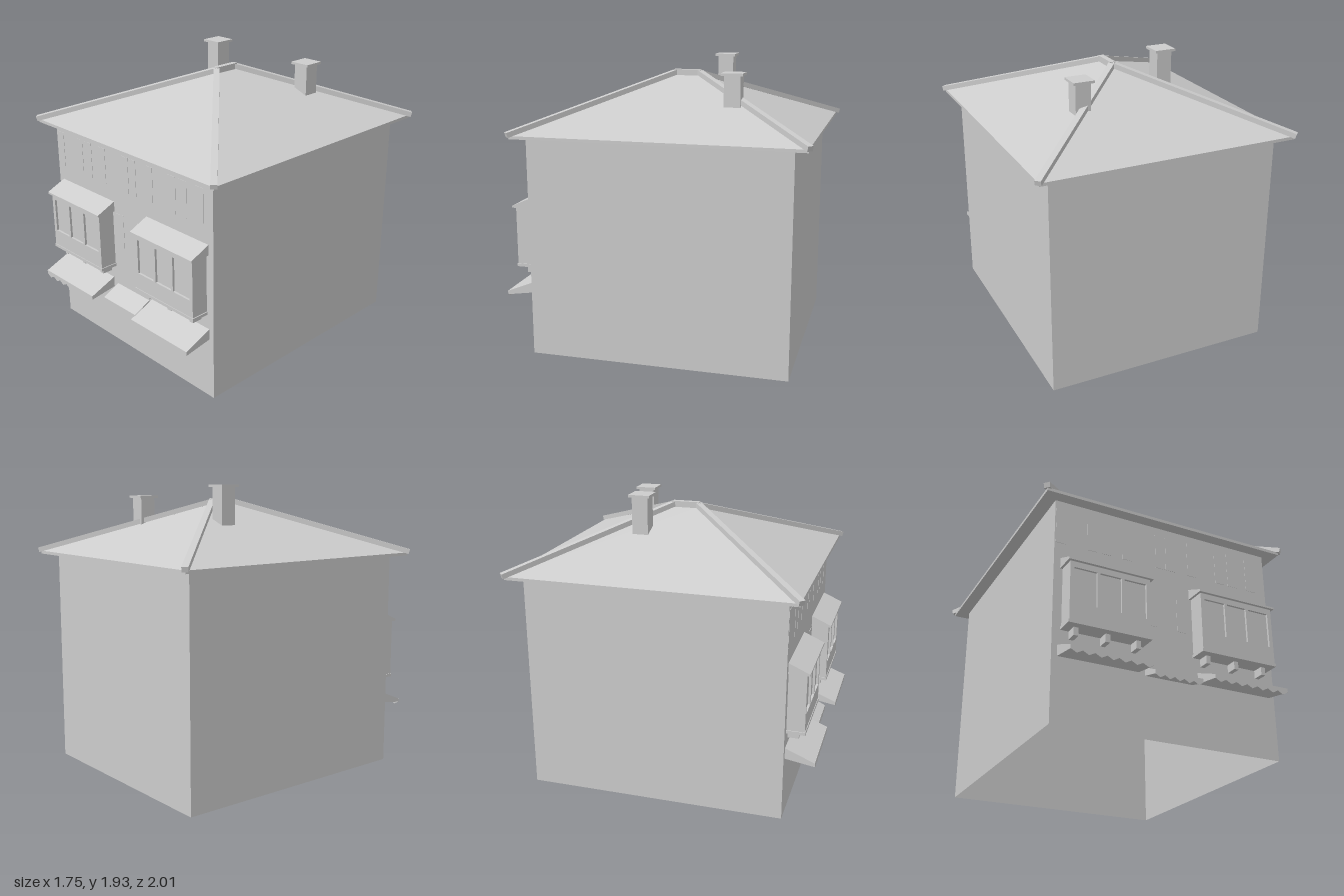
import * as THREE from 'three';

const plaster = new THREE.MeshStandardMaterial({ color: 0xcccccc, side: THREE.DoubleSide });
plaster.name = 'plainGrey';

const WALL_FRONT = 0.81;

function part(parent, name, geometry) {
  const mesh = new THREE.Mesh(geometry, plaster);
  mesh.name = name;
  parent.add(mesh);
  return mesh;
}

// Box given by its lower and upper limits
function box(parent, name, [x0, x1], [y0, y1], [z0, z1]) {
  const g = new THREE.BoxGeometry(x1 - x0, y1 - y0, z1 - z0);
  g.translate((x0 + x1) / 2, (y0 + y1) / 2, (z0 + z1) / 2);
  return part(parent, name, g);
}

// Side profile of [z, y] points, stretched from x0 to x1
function prism(parent, name, x0, x1, profile) {
  const shape = new THREE.Shape(profile.map(([z, y]) => new THREE.Vector2(z, y)));
  const g = new THREE.ExtrudeGeometry(shape, { depth: x1 - x0, bevelEnabled: false });
  g.rotateY(-Math.PI / 2).translate(x1, 0, 0);
  return part(parent, name, g);
}

function rect(Type, x0, x1, y0, y1) {
  const r = new Type();
  r.moveTo(x0, y0).lineTo(x1, y0).lineTo(x1, y1).lineTo(x0, y1).closePath();
  return r;
}

function buildRoof() {
  const roof = new THREE.Group();
  roof.name = 'roof';
  const w = 0.85, eave = 1.47, top = 1.8, front = 0.886, back = -0.978;
  box(roof, 'eaveSlab', [-w, w], [1.45, eave], [back, front]);

  // Hipped roof: four eave corners, then two ridge ends
  const g = new THREE.BufferGeometry();
  g.setAttribute('position', new THREE.Float32BufferAttribute([
    -w, eave, front, w, eave, front, w, eave, back, -w, eave, back,
    0, top, front - w, 0, top, back + w], 3));
  g.setIndex([0, 1, 4, 1, 2, 5, 1, 5, 4, 2, 3, 5, 3, 0, 4, 3, 4, 5]);
  const flat = g.toNonIndexed();
  flat.computeVertexNormals();
  part(roof, 'hippedRoof', flat);

  // Cap strips over the ridge and the four hips
  box(roof, 'ridgeCap', [-0.019, 0.019], [top - 0.005, 1.835], [back + w - 0.01, front - w + 0.01]);
  for (const sx of [-1, 1]) {
    for (const [zEnd, zTop, sz] of [[front, front - w, 1], [back, back + w, -1]]) {
      const a = new THREE.Vector3(0, top + 0.016, zTop);
      const b = new THREE.Vector3(sx * (w + 0.01), eave + 0.007, zEnd + sz * 0.01);
      const cap = part(roof, 'hipCap', new THREE.BoxGeometry(0.04, 0.033, a.distanceTo(b)));
      cap.position.copy(a).lerp(b, 0.5);
      cap.lookAt(b);
    }
  }
  return roof;
}

function buildChimney(x, z, bottom, top) {
  const chimney = new THREE.Group();
  chimney.name = 'chimney';
  box(chimney, 'chimneyShaft', [x - 0.051, x + 0.051], [bottom, top - 0.015], [z - 0.053, z + 0.053]);
  box(chimney, 'chimneyCap', [x - 0.07, x + 0.07], [top - 0.016, top], [z - 0.07, z + 0.07]);
  return chimney;
}

function buildBay(cx) {
  const bay = new THREE.Group();
  bay.name = 'bayWindow';
  const h = 0.264;
  box(bay, 'bayBody', [-h, h], [0.59, 0.985], [WALL_FRONT, 0.91]);

  // Front face with three recessed openings
  const face = rect(THREE.Shape, -h, h, 0.59, 0.985);
  for (const [x0, x1] of [[-0.237, -0.089], [-0.071, 0.071], [0.089, 0.237]])
    face.holes.push(rect(THREE.Path, x0, x1, 0.708, 0.94));
  const g = new THREE.ExtrudeGeometry(face, { depth: 0.015, bevelEnabled: false });
  part(bay, 'bayFront', g.translate(0, 0, 0.91));

  box(bay, 'baySill', [-0.27, 0.27], [0.577, 0.597], [WALL_FRONT, 0.929]);
  prism(bay, 'bayRoof', -0.28, 0.28,
    [[WALL_FRONT, 0.98], [0.945, 0.977], [0.945, 0.99], [WALL_FRONT, 1.05]]);
  for (const x of [-0.202, 0, 0.202])
    box(bay, 'bayBracket', [x - 0.015, x + 0.015], [0.525, 0.58], [WALL_FRONT, 0.882]);
  bay.position.x = cx;
  return bay;
}

function buildAwning(cx, half, reach, top, edge, teeth) {
  const awning = new THREE.Group();
  awning.name = 'awning';
  prism(awning, 'awningCanopy', -half, half,
    [[WALL_FRONT, edge + 0.005], [reach - 0.002, edge - 0.025], [reach - 0.002, edge], [WALL_FRONT, top]]);

  // Zigzag valance along the front edge
  const valance = new THREE.Shape();
  valance.moveTo(half, edge).lineTo(-half, edge);
  for (let i = 0; i <= teeth * 2; i++)
    valance.lineTo(-half + (half * i) / teeth, edge - (i % 2 ? 0.045 : 0.025));
  valance.closePath();
  const g = new THREE.ExtrudeGeometry(valance, { depth: 0.003, bevelEnabled: false });
  part(awning, 'awningValance', g.translate(0, 0, reach - 0.003));
  awning.position.x = cx;
  return awning;
}

export function createModel() {
  const house = new THREE.Group();
  house.name = 'house';

  // Walls, open above and below
  const walls = new THREE.BoxGeometry(1.53, 1.45, WALL_FRONT + 0.89);
  const index = Array.from(walls.index.array);
  walls.setIndex([...index.slice(0, 12), ...index.slice(24)]);
  walls.clearGroups();
  part(house, 'walls', walls.translate(0, 0.725, (WALL_FRONT - 0.89) / 2));

  house.add(buildRoof());
  house.add(buildChimney(-0.284, -0.257, 1.64, 1.928));
  house.add(buildChimney(0.367, -0.44, 1.63, 1.852));

  for (const s of [-1, 1]) {
    house.add(buildBay(s * 0.443));
    house.add(buildAwning(s * 0.466, 0.262, 1.0, 0.482, 0.405, 7));
  }
  house.add(buildAwning(0, 0.163, 0.933, 0.45, 0.39, 5));

  // Thin shutters: centre, spacing of the pair, bottom and top
  const pairs = [
    [-0.617, 0.105, 1.154, 1.394], [-0.343, 0.072, 1.154, 1.394], [0, 0.037, 1.154, 1.394],
    [0.303, 0.105, 1.154, 1.394], [0.577, 0.072, 1.154, 1.394], [0, 0.105, 0.735, 0.975]];
  for (const [cx, off, y0, y1] of pairs)
    for (const s of [-1, 1]) {
      const x = cx + s * off;
      box(house, 'shutter', [x - 0.035, x + 0.035], [y0, y1], [WALL_FRONT - 0.001, WALL_FRONT + 0.002]);
    }
  return house;
}
